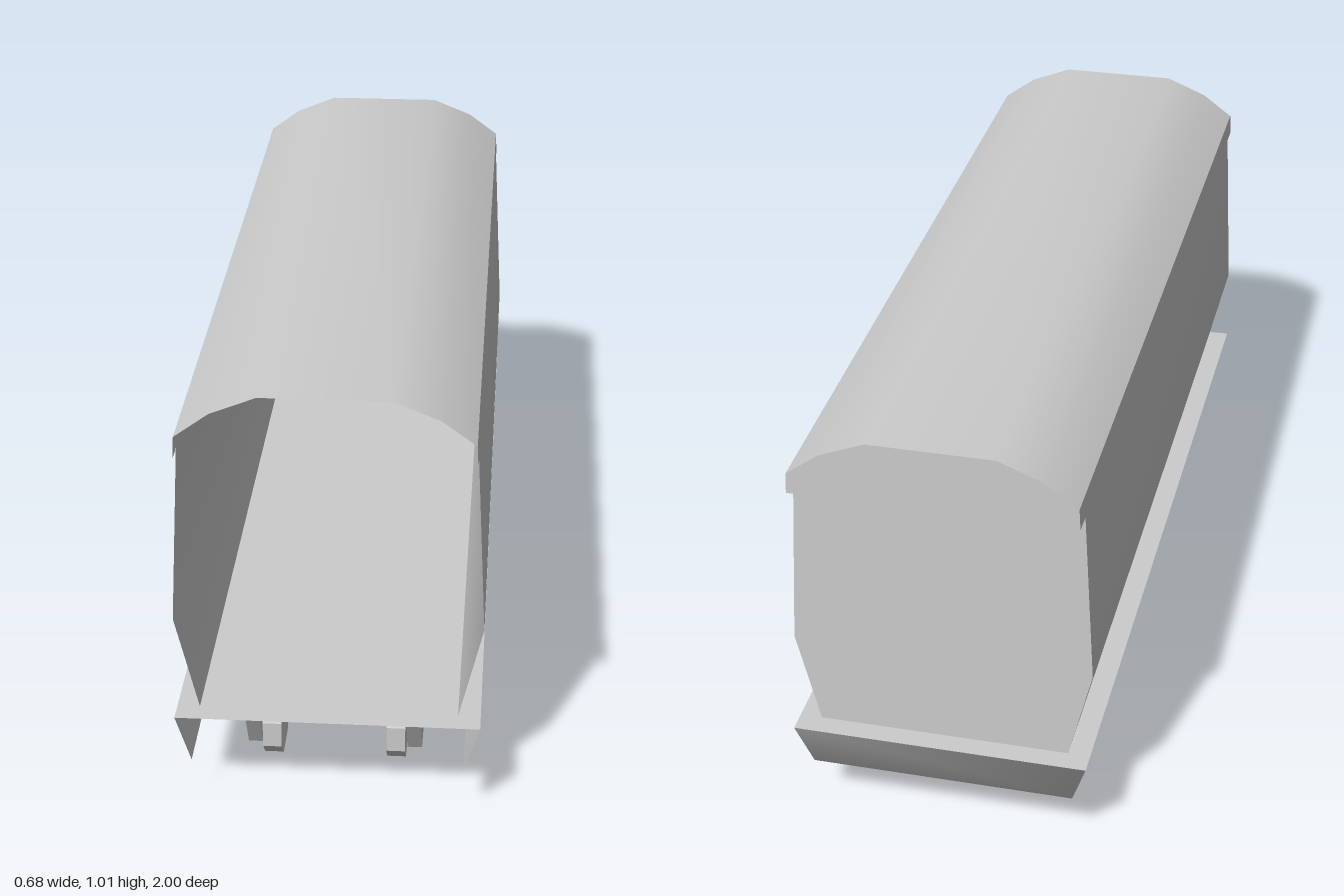
import * as THREE from 'three';
import { toCreasedNormals } from 'three/addons/utils/BufferGeometryUtils.js';

const material = new THREE.MeshStandardMaterial({ color: 0xcccccc, side: THREE.DoubleSide });

function part(name, geometry, parent) {
  const mesh = new THREE.Mesh(geometry, material);
  mesh.name = name;
  parent.add(mesh);
  return mesh;
}

// Ruled surface between two polylines of [x, y, z] points
function loft(a, b) {
  const index = [];
  for (let i = 0; i < a.length - 1; i++) {
    const n = a.length + i;
    index.push(i, i + 1, n, i + 1, n + 1, n);
  }
  const g = new THREE.BufferGeometry();
  g.setAttribute('position', new THREE.Float32BufferAttribute([...a, ...b].flat(), 3));
  g.setIndex(index);
  g.computeVertexNormals();
  return g;
}

// Sweep an [x, y] profile along z
const sweep = (profile, z0, z1) =>
  loft(profile.map(([x, y]) => [x, y, z0]), profile.map(([x, y]) => [x, y, z1]));

// Mirror a right-hand half profile to the other side, in reverse order
const mirrored = (half) => half.map(([x, y]) => [-x, y]).reverse();

const polygon = (points) => new THREE.Shape(points.map(([x, y]) => new THREE.Vector2(x, y)));

// Flat panel facing the back
function backPanel(name, points, z, parent) {
  const mesh = part(name, new THREE.ShapeGeometry(polygon(points)), parent);
  mesh.rotation.y = Math.PI;
  mesh.position.z = z;
}

// Solid from a [z, y] outline, spanning x0 to x1
function slab(outline, x0, x1) {
  const g = new THREE.ExtrudeGeometry(polygon(outline), { depth: x1 - x0, bevelEnabled: false });
  return g.rotateY(-Math.PI / 2).translate(x1, 0, 0);
}

export function createModel() {
  const car = new THREE.Group();
  car.name = 'railCar';

  const floorY = 0.23, lipY = 0.865;
  const wall = [[0.285, floorY], [0.338, 0.45], [0.3175, lipY]];
  const roof = [[0.3175, lipY], [0.315, 0.915], [0.24, 0.97], [0.14, 1.01]];

  // Side walls, open at the front
  part('leftWall', sweep(wall, -0.95, 0.95), car);
  part('rightWall', sweep(mirrored(wall), -0.95, 0.95), car);

  // Roof shell overhanging both ends
  const arch = [...roof, ...mirrored(roof)];
  part('roof', toCreasedNormals(sweep(arch, -1, 1), 0.7), car);

  // Closed back end with the overhanging gable and its soffit
  backPanel('backWall', [...wall, ...mirrored(wall)], -0.95, car);
  backPanel('backGable', arch, -1, car);
  part('backSoffit', sweep([[-0.3175, lipY], [0.3175, lipY]], -1, -0.95), car);

  // Floor
  part('floor', sweep([[0.335, floorY], [-0.335, floorY]], -1, 1), car);

  // Sloped skirt around the sides and back, open at the front
  const rim = (x, y, back) => [[x, y, 1], [x, y, back], [-x, y, back], [-x, y, 1]];
  part('skirt', loft(rim(0.3, 0.123, -0.975), rim(0.335, floorY, -1)), car);

  // Running gear: a side frame and an eight-sided wheel at each corner
  const frame = [[0.39, 0.123], [0.46, 0.03], [0.775, 0.03], [0.83, 0.123]];
  const wheel = [[0.68, 0], [0.77, 0], [0.813, 0.042], [0.813, 0.103],
    [0.77, 0.145], [0.68, 0.145], [0.637, 0.103], [0.637, 0.042]];
  for (const end of [1, -1]) {
    const place = (outline) => outline.map(([z, y]) => [z * end, y]);
    for (const side of [1, -1]) {
      const span = (a, b) => (side > 0 ? [a, b] : [-b, -a]);
      const gear = new THREE.Group();
      gear.name = (end > 0 ? 'front' : 'back') + (side > 0 ? 'Left' : 'Right') + 'RunningGear';
      part('sideFrame', slab(place(frame), ...span(0.167, 0.2)), gear);
      part('wheel', slab(place(wheel), ...span(0.12, 0.163)), gear);
      car.add(gear);
    }
  }
  return car;
}
